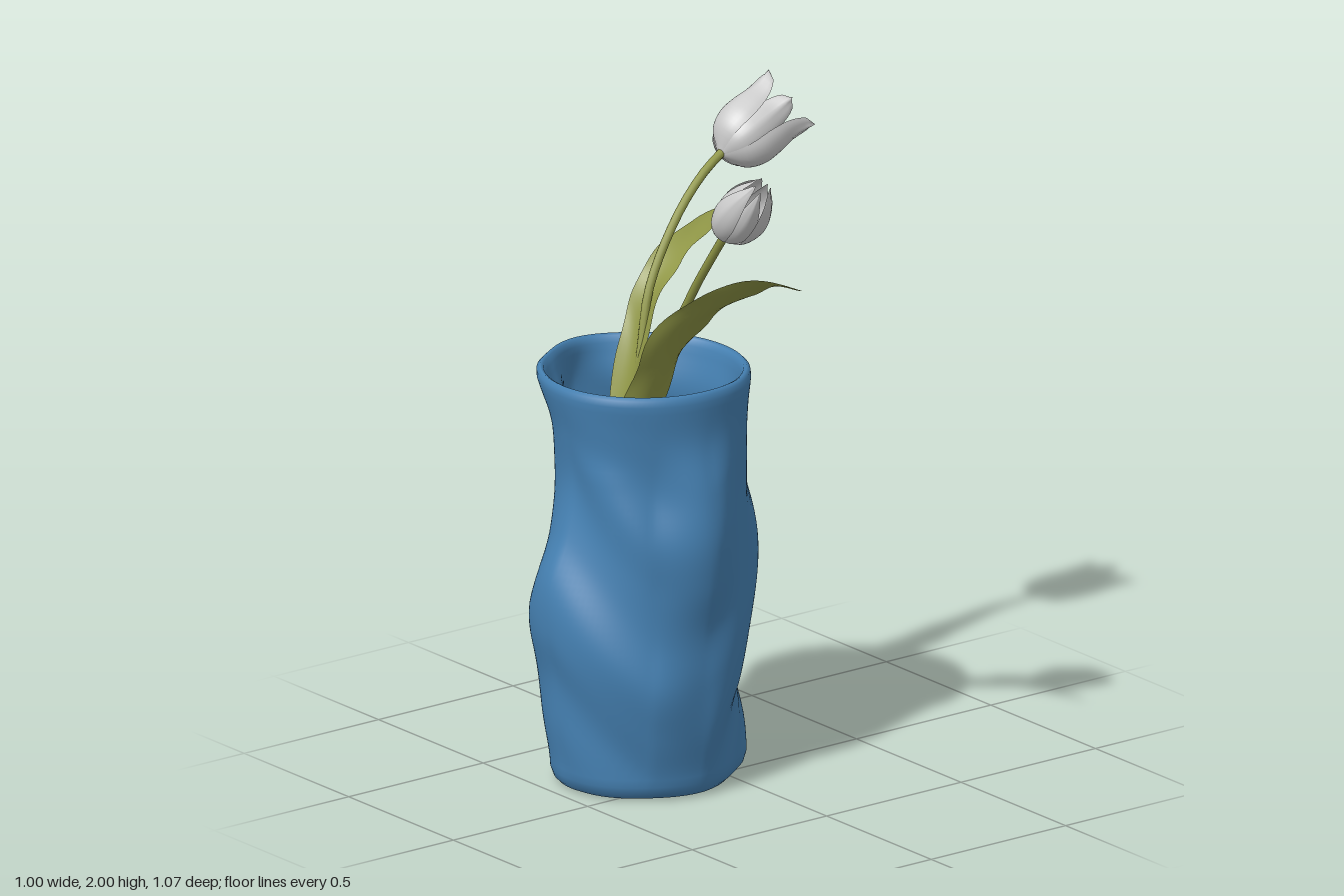
import * as THREE from 'three';
import { mergeVertices } from 'three/addons/utils/BufferGeometryUtils.js';

const blue = new THREE.MeshStandardMaterial({ color: 0x4682b4 });
const green = new THREE.MeshStandardMaterial({ color: 0x8f9646, side: THREE.DoubleSide });
const grey = new THREE.MeshStandardMaterial({ color: 0xcccccc, side: THREE.DoubleSide });
const V = (p) => new THREE.Vector3(...p);
const curve = (pts) => new THREE.CatmullRomCurve3(pts.map(V));
const graph = (values) => new THREE.SplineCurve(values.map((r, i) => new THREE.Vector2(i, r)));

// Smooth surface from a rule at(u, v), u and v in 0..1
function surface(nu, nv, at) {
  const pos = [], idx = [];
  for (let i = 0; i <= nu; i++)
    for (let j = 0; j <= nv; j++) {
      pos.push(...at(i / nu, j / nv));
      if (i < nu && j < nv) {
        const a = i * (nv + 1) + j, b = a + nv + 1;
        idx.push(a, b, a + 1, b, b + 1, a + 1);
      }
    }
  let g = new THREE.BufferGeometry();
  g.setAttribute('position', new THREE.Float32BufferAttribute(pos, 3));
  g.setIndex(idx);
  g = mergeVertices(g, 1e-5);
  g.computeVertexNormals();
  return g;
}

function add(parent, name, geometry, material) {
  const m = new THREE.Mesh(geometry, material);
  m.name = name;
  parent.add(m);
  return m;
}

// Vase wall around the axis: angle in degrees, how far the folds fall towards
// the next angle, and the radius at heights 0.05 to 1.25
const walls = [
  [0, -0.05, [.29, .31, .31, .305, .335, .35, .335, .305, .31]],
  [33, -0.25, [.285, .32, .345, .315, .31, .315, .28, .29, .31]],
  [90, 0.05, [.295, .315, .325, .355, .35, .295, .265, .282, .315]],
  [147, 0.03, [.26, .29, .31, .325, .27, .26, .26, .265, .32]],
  [180, 0.23, [.285, .29, .275, .29, .27, .22, .285, .355, .34]],
  [213, 0.07, [.29, .31, .285, .265, .275, .335, .335, .29, .32]],
  [270, 0.33, [.31, .33, .29, .265, .305, .365, .33, .295, .315]],
  [327, 0.1, [.28, .27, .305, .318, .312, .305, .30, .305, .318]],
].map(([angle, drop, radii]) => ({ angle, drop, radii: graph(radii) }));

function wallRadius(degrees, y) {
  const k = walls.findLastIndex((w) => w.angle <= degrees);
  const here = walls[k], next = walls[(k + 1) % walls.length];
  const f = (degrees - here.angle) / ((next.angle || 360) - here.angle);
  const drop = here.drop * THREE.MathUtils.clamp((1.25 - y) / 0.25, 0, 1);
  const read = (w, h) => w.radii.getPoint(THREE.MathUtils.clamp((h - 0.05) / 1.2, 0, 1)).y;
  return THREE.MathUtils.lerp(read(here, y + f * drop), read(next, y - (1 - f) * drop),
    THREE.MathUtils.smoothstep(f, 0, 1));
}

function vaseGeometry() {
  // Rows of [height, inset, scale]: base, outside, lip, inside, floor
  const rows = [[0, 0, 0], [0, .06, 1], [0, .045, 1], [.006, .022, 1], [.02, .008, 1]];
  for (let i = 0; i <= 50; i++) rows.push([.045 + 1.185 * i / 50, 0, 1]);
  rows.push([1.25, .004, 1], [1.26, .014, 1], [1.255, .024, 1]);
  for (let i = 0; i <= 50; i++) rows.push([1.235 - 1.175 * i / 50, .03, 1]);
  rows.push([.04, .04, 1], [.03, .06, 1], [.03, .075, 1], [.03, 0, 0]);
  return surface(rows.length - 1, 120, (u, v) => {
    const [y, inset, scale] = rows[Math.round(u * (rows.length - 1))];
    const a = (v % 1) * Math.PI * 2, r = scale * (wallRadius((v % 1) * 360, y) - inset);
    return [-0.15 + r * Math.cos(a), y, 0.175 + r * Math.sin(a)];
  });
}

// Leaf: a cupped, rippled ribbon along a path; its width turns from side to tipSide
function leafGeometry(path, side, tipSide, half, wave) {
  const c = curve(path);
  return surface(48, 10, (u, v) => {
    const p = c.getPoint(u), t = c.getTangent(u), s = v * 2 - 1;
    const across = V(side).lerp(V(tipSide), u);
    across.addScaledVector(t, -across.dot(t)).normalize();
    const normal = new THREE.Vector3().crossVectors(across, t);
    if (normal.y < 0) normal.negate();
    const w = half * Math.pow(Math.sin(Math.PI * (0.1 + 0.9 * Math.pow(u, 0.85))), 0.8);
    const ripple = wave * Math.sin(u * 26 + s * 1.5) * s * s;
    p.addScaledVector(across, s * w * (1 + 0.08 * Math.sin(u * 31 + s)));
    p.addScaledVector(normal, w * 0.5 * s * s * (1 - u) + ripple * (1 - u));
    return p.toArray();
  });
}

// Petal: a slice of a bulging cup that narrows to a point
function petalGeometry(profile, length, scale, spread) {
  const c = graph(profile);
  return surface(20, 12, (u, v) => {
    const s = v * 2 - 1;
    const width = spread * (u < 0.45 ? 1 : Math.sqrt(Math.max(0, 1 - Math.pow((u - 0.45) / 0.55, 1.7))));
    const a = s * width;
    const ridge = 1 + 0.05 * Math.exp(-s * s * 30) * u - 0.07 * s * s;
    const r = Math.max(0, c.getPoint(u).y) * scale * ridge;
    return [r * Math.cos(a), length * (Math.pow(u, 1.3) * 0.65 + u * 0.35), r * Math.sin(a)];
  });
}

function flower(name, base, dir, length, profile, turn) {
  const g = new THREE.Group();
  g.name = name;
  for (let i = 0; i < 6; i++) {
    const inner = i % 2;
    const len = length * (inner ? 0.97 : 1) * (1 - 0.025 * (i % 3));
    const petal = add(g, inner ? 'innerPetal' : 'outerPetal',
      petalGeometry(profile, len, inner ? 0.86 : 1, 0.72), grey);
    petal.rotation.y = turn + i * Math.PI / 3;
  }
  g.position.set(...base);
  g.quaternion.setFromUnitVectors(new THREE.Vector3(0, 1, 0), V(dir).normalize());
  return g;
}

const stemGeometry = (path) => new THREE.TubeGeometry(curve(path), 40, 0.0135, 10);

export function createModel() {
  const model = new THREE.Group();
  model.name = 'vaseWithFlowers';
  add(model, 'vase', vaseGeometry(), blue);

  // Stems
  add(model, 'backStem', stemGeometry([[-.1, .04, .35], [-.17, .65, .26], [-.24, 1.27, .115],
    [-.27, 1.445, .06], [-.305, 1.63, -.07], [-.33, 1.735, -.19], [-.342, 1.78, -.27]]), green);
  add(model, 'leftStem', stemGeometry([[-.34, .04, .165], [-.22, .75, .17], [-.07, 1.27, .175],
    [.09, 1.55, .18], [.18, 1.675, .185], [.26, 1.785, .185]]), green);

  // Leaves
  add(model, 'backLeaf', leafGeometry([[-.14, .5, .36], [-.2, .95, .24], [-.25, 1.25, .13],
    [-.275, 1.41, .06], [-.305, 1.51, -.04], [-.35, 1.565, -.2], [-.385, 1.6, -.37]],
    [1, 0, .15], [1, -.5, .1], .062, .008), green);
  add(model, 'leftLeaf', leafGeometry([[-.2, .6, .24], [-.1, 1.05, .22], [-.03, 1.27, .205],
    [.07, 1.44, .18], [.2, 1.555, .115], [.34, 1.625, .095], [.495, 1.645, .085]],
    [.15, 0, 1], [0, .6, 1], .085, .01), green);

  // Flowers: one open, one nearly closed
  model.add(flower('openFlower', [-.341, 1.768, -.255], [-.05, .4, -.91], .28,
    [0, .075, .104, .108, .105, .116], 0.5));
  model.add(flower('closedFlower', [.247, 1.765, .185], [.66, .75, .02], .3,
    [0, .058, .08, .08, .06, .026], 0.5));
  return model;
}
